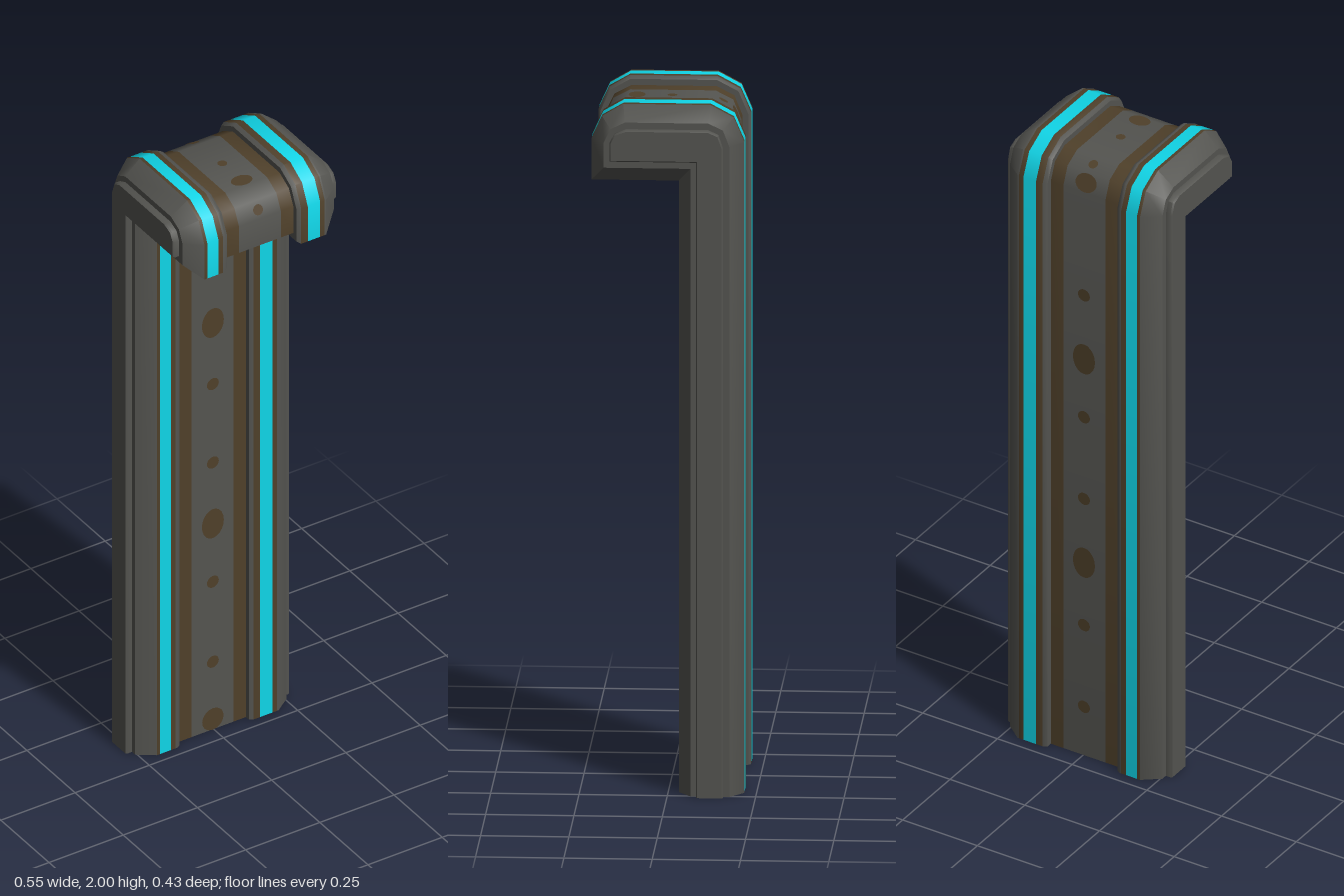
import * as THREE from 'three';
import { toCreasedNormals } from 'three/addons/utils/BufferGeometryUtils.js';

// Side outline as [z, y], from the foot of the front face round to the foot of the back face
const OUTER = [[-0.03, 0], [-0.03, 1.78], [0.217, 1.78], [0.217, 1.9], [0.187, 1.965], [0.127, 2],
  [-0.12, 2], [-0.185, 1.965], [-0.215, 1.895], [-0.215, 0]];
const INNER = [[-0.085, 0], [-0.085, 1.852], [0.16, 1.852], [0.16, 1.9], [0.147, 1.925], [0.116, 1.937],
  [-0.116, 1.937], [-0.143, 1.925], [-0.155, 1.89], [-0.155, 0]];
const RECESS = 0.4;

// Outline inset by t: 0 is the widest, 1 the smallest
const outline = (t) => OUTER.map(([z, y], i) => [
  THREE.MathUtils.lerp(z, INNER[i][0], t), THREE.MathUtils.lerp(y, INNER[i][1], t)]);

// Stations across the width: [x, inset, material of the band up to the next station]
const METAL = 0, GLOW = 1, RUST = 2;
const STATIONS = [
  [-0.275, 1, METAL], [-0.27, 0.95, METAL], [-0.255, 0.95, METAL], [-0.255, 0.65, METAL],
  [-0.205, 0, RUST], [-0.195, 0, GLOW], [-0.158, 0, RUST], [-0.142, 0, METAL], [-0.135, 0, METAL],
  [-0.125, 0.12, METAL], [-0.125, RECESS, RUST], [-0.074, RECESS, METAL],
  [0.067, RECESS, RUST], [0.109, RECESS, METAL], [0.109, 0.12, METAL],
  [0.121, 0, RUST], [0.143, 0, GLOW], [0.185, 0, RUST], [0.2, 0, METAL], [0.205, 0, METAL],
  [0.255, 0.65, METAL], [0.255, 0.95, METAL], [0.27, 0.95, METAL], [0.275, 1, METAL],
];

// Hollow shell lofted through the stations, open at the foot
function shellGeometry() {
  const positions = [], index = [], n = OUTER.length;
  const geometry = new THREE.BufferGeometry();
  STATIONS.forEach(([x, t, material], i) => {
    outline(t).forEach(([z, y]) => positions.push(x, y, z));
    if (i === STATIONS.length - 1) return;
    geometry.addGroup(index.length, (n - 1) * 6, material);
    for (let j = 0; j < n - 1; j++) {
      const a = i * n + j, b = a + n;
      index.push(a, b, a + 1, b, b + 1, a + 1);
    }
  });
  geometry.setAttribute('position', new THREE.Float32BufferAttribute(positions, 3));
  geometry.setIndex(index);
  return toCreasedNormals(geometry, 0.75);
}

export function createModel() {
  const group = new THREE.Group();
  const material = (name, color) => {
    const m = new THREE.MeshStandardMaterial({ color, side: THREE.DoubleSide });
    m.name = name;
    return m;
  };
  const metal = material('dark metal', 0x545450);
  const glow = material('cyan stripe', 0x10d6e8);
  const rust = material('brown trim', 0x4f402a);
  const add = (name, geometry, mat) => {
    const mesh = new THREE.Mesh(geometry, mat);
    mesh.name = name;
    group.add(mesh);
    return mesh;
  };

  add('hookedPostShell', shellGeometry(), [metal, glow, rust]);

  // Flat side panels
  for (const s of [-1, 1]) {
    const shape = new THREE.Shape(outline(1).map(([z, y]) => new THREE.Vector2(-s * z, y)));
    const geometry = new THREE.ShapeGeometry(shape).rotateY(s * Math.PI / 2).translate(s * 0.275, 0, 0);
    add(s > 0 ? 'leftSidePanel' : 'rightSidePanel', geometry, metal);
  }

  // Thin round spots on the recessed centre; (ny, nz) is the way they face
  const spot = (name, y, z, ny, nz, rx, ry) => {
    const mesh = add(name, new THREE.CircleGeometry(1, 20), rust);
    const normal = new THREE.Vector3(0, ny, nz).normalize();
    mesh.scale.set(rx, ry, 1);
    mesh.position.set(-0.004, y, z).addScaledVector(normal, 0.003);
    mesh.lookAt(mesh.position.clone().add(normal));
  };
  const section = outline(RECESS);
  const frontZ = section[0][0], backZ = section[9][0], topY = section[5][1];
  const small = [0.02, 0.02], large = [0.037, 0.05];

  for (const y of [0.235, 0.51, 0.92, 1.19, 1.6]) spot('frontSmallSpot', y, frontZ, 0, 1, ...small);
  for (const y of [0.71, 1.4]) spot('frontLargeSpot', y, frontZ, 0, 1, ...large);
  spot('frontFootSpot', 0.038, frontZ, 0, 1, 0.036, 0.037);
  for (const y of [0.165, 0.44, 0.865, 1.14, 1.55]) spot('backSmallSpot', y, backZ, 0, -1, ...small);
  for (const y of [0.65, 1.335]) spot('backLargeSpot', y, backZ, 0, -1, ...large);

  // Spots on the head and its rounded corners
  spot('topSmallSpot', topY, 0, 1, 0, 0.014, 0.014);
  spot('topLargeSpot', topY, 0.1, 1, 0, 0.033, 0.024);
  const corner = (name, i, rx, ry) => {
    const [[z0, y0], [z1, y1]] = [section[i], section[i + 1]];
    spot(name, (y0 + y1) / 2, (z0 + z1) / 2, z0 - z1, y1 - y0, rx, ry);
  };
  corner('topBackSmallSpot', 6, 0.014, 0.014);
  corner('backCornerSpot', 7, 0.035, 0.028);
  corner('frontCornerSpot', 3, 0.016, 0.016);
  return group;
}
